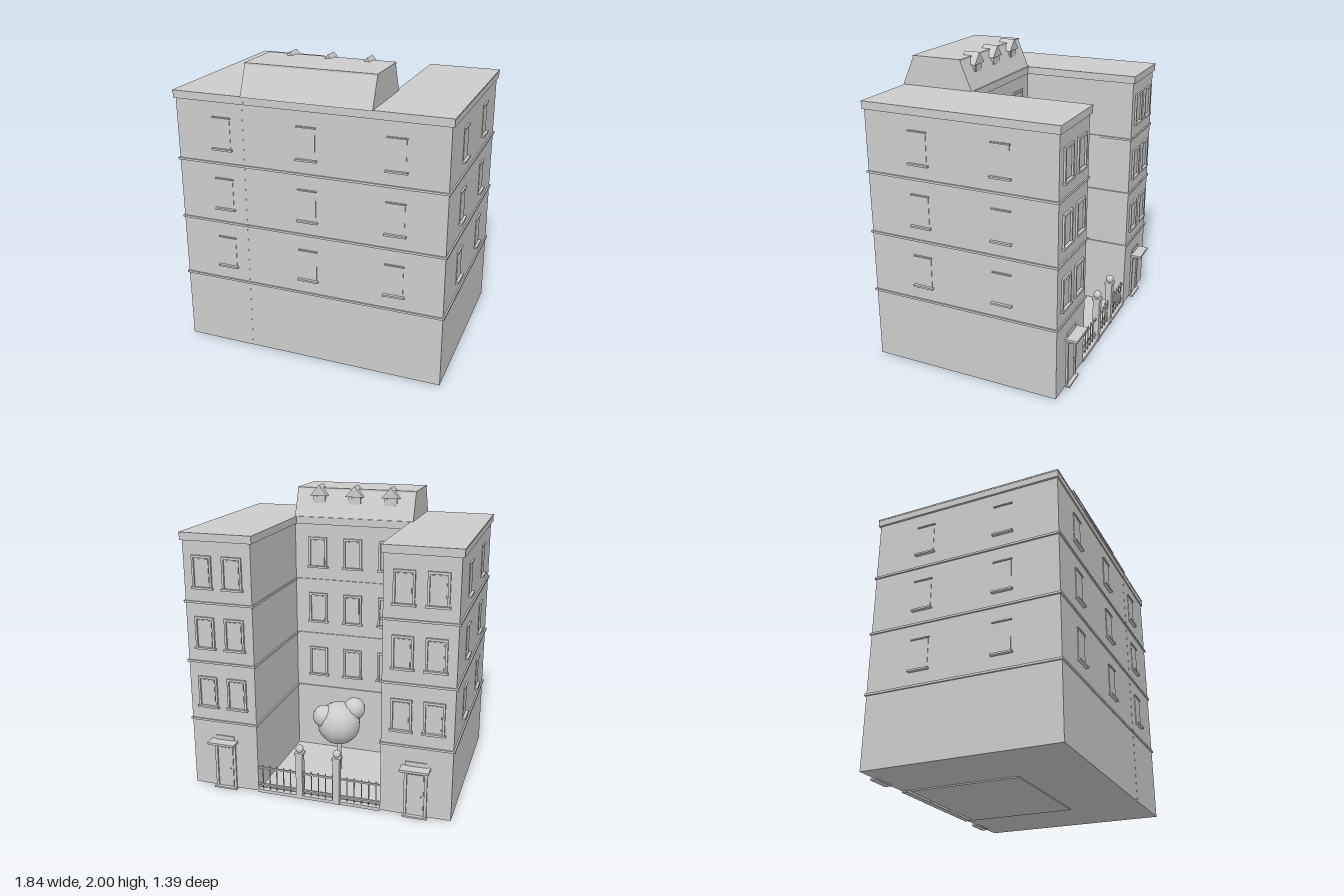
import * as THREE from 'three';

const stone = new THREE.MeshStandardMaterial({ color: 0xcccccc });
stone.name = 'pale grey';

function add(parent, name, geometry, x = 0, y = 0, z = 0) {
  const m = new THREE.Mesh(geometry, stone);
  m.name = name;
  m.position.set(x, y, z);
  parent.add(m);
  return m;
}

// Box given by its limits on each axis
function box(parent, name, x0, x1, y0, y1, z0, z1) {
  return add(parent, name, new THREE.BoxGeometry(x1 - x0, y1 - y0, z1 - z0),
    (x0 + x1) / 2, (y0 + y1) / 2, (z0 + z1) / 2);
}

// Profile in (z, y) extruded along x
function prismX(parent, name, points, x0, x1) {
  const shape = new THREE.Shape(points.map(([z, y]) => new THREE.Vector2(-z, y)));
  const g = new THREE.ExtrudeGeometry(shape, { depth: x1 - x0, bevelEnabled: false });
  g.rotateY(Math.PI / 2);
  return add(parent, name, g, x0);
}

function group(parent, name, x, y, z, turn = 0) {
  const g = new THREE.Group();
  g.name = name;
  g.position.set(x, y, z);
  g.rotation.y = turn;
  parent.add(g);
  return g;
}

const FLOORS = [0.59, 1.005, 1.415];

// Wing or centre block: walls, string courses and cornice
function block(parent, name, x0, x1, z0, z1, edge) {
  const b = group(parent, name, 0, 0, 0);
  box(b, 'walls', x0, x1, 0.008, 1.74, z0, z1);
  const [l, r] = edge;
  for (const y of [0.487, 0.905, 1.315])
    box(b, 'stringCourse', x0 - l * 0.01, x1 + r * 0.01, y, y + 0.014, z0 - 0.009, z1 + 0.009);
  box(b, 'cornice', x0 - l * 0.014, x1 + r * 0.014, 1.728, 1.77, z0 - 0.012, z1 + 0.008);
  box(b, 'roofEdge', x0 - l * 0.016, x1 + r * 0.016, 1.77, 1.78, z0 - 0.014, z1 + 0.01);
}

// Shallow window: flush panel with lintel and sill
function flatWindow(parent, x, y, z, turn) {
  const w = group(parent, 'shallowWindow', x, y, z, turn);
  box(w, 'pane', -0.058, 0.058, 0.005, 0.215, -0.01, 0.003);
  box(w, 'lintel', -0.064, 0.064, 0.21, 0.218, -0.01, 0.012);
  box(w, 'sill', -0.07, 0.07, -0.002, 0.01, -0.01, 0.022);
}

// Window with a raised frame
function framedWindow(parent, x, y, z) {
  const w = group(parent, 'framedWindow', x, y, z, Math.PI);
  for (const s of [-1, 1])
    add(w, 'jamb', new THREE.BoxGeometry(0.014, 0.21, 0.022), s * 0.061, 0.11, 0.002);
  box(w, 'lintel', -0.068, 0.068, 0.204, 0.22, -0.01, 0.013);
  box(w, 'pane', -0.046, 0.046, 0.018, 0.197, -0.01, 0.004);
  box(w, 'sill', -0.076, 0.076, -0.002, 0.012, -0.01, 0.02);
}

// Doorway with canopy and step
function doorway(parent, x, z) {
  const d = group(parent, 'doorway', x, 0, z, Math.PI);
  for (const s of [-1, 1])
    add(d, 'doorJamb', new THREE.BoxGeometry(0.018, 0.32, 0.024), s * 0.067, 0.165, 0);
  box(d, 'doorHead', -0.076, 0.076, 0.305, 0.33, -0.01, 0.013);
  box(d, 'doorLeaf', -0.052, 0.052, 0.01, 0.3, -0.01, 0.005);
  box(d, 'canopyMoulding', -0.08, 0.08, 0.33, 0.346, -0.01, 0.045);
  box(d, 'canopy', -0.095, 0.095, 0.346, 0.361, -0.01, 0.08);
  box(d, 'canopyUpstand', -0.07, 0.07, 0.361, 0.39, -0.01, 0.008);
  box(d, 'step', -0.082, 0.082, 0, 0.012, -0.02, 0.03);
  add(d, 'doorKnob', new THREE.SphereGeometry(0.005, 8, 6), 0.038, 0.15, 0.008);
}

function buildFence(parent) {
  const f = group(parent, 'fence', 0, 0, -0.6);
  box(f, 'curb', -0.43, 0.43, 0, 0.022, -0.02, 0.02);
  for (const y of [0.05, 0.175]) box(f, 'rail', -0.43, 0.43, y, y + 0.011, -0.006, 0.006);
  const bar = new THREE.CylinderGeometry(0.004, 0.004, 0.18, 6);
  for (let i = -8; i <= 8; i++) add(f, 'bar', bar, i * 0.05, 0.11, 0);
  for (const x of [-0.13, 0.13]) {
    const p = group(f, 'gatePillar', x, 0, 0);
    box(p, 'pillarShaft', -0.023, 0.023, 0, 0.32, -0.023, 0.023);
    box(p, 'pillarCap', -0.029, 0.029, 0.32, 0.338, -0.029, 0.029);
    add(p, 'pillarBall', new THREE.SphereGeometry(0.027, 16, 12), 0, 0.362, 0);
  }
}

function buildTree(parent) {
  const t = group(parent, 'tree', 0, 0, -0.14);
  add(t, 'trunk', new THREE.CylinderGeometry(0.015, 0.022, 0.3, 8), 0, 0.155, 0);
  add(t, 'crown', new THREE.SphereGeometry(0.155, 12, 10), 0, 0.37, 0);
  add(t, 'foliage', new THREE.SphereGeometry(0.08, 12, 10), 0.095, 0.43, -0.05);
  add(t, 'foliage', new THREE.SphereGeometry(0.08, 12, 10), -0.1, 0.475, 0.04);
}

function buildRoof(parent) {
  const r = group(parent, 'mansardRoof', 0, 0, 0);
  prismX(r, 'mansard', [[0.695, 1.778], [0.61, 1.968], [0.265, 1.968], [0.185, 1.778]], -0.43, 0.43);
  box(r, 'roofCap', -0.432, 0.432, 1.966, 1.977, 0.26, 0.613);
  for (const x of [-0.26, 0, 0.26]) {
    const d = group(r, 'dormer', x, 0, 0);
    box(d, 'dormerBody', -0.045, 0.045, 1.86, 1.93, 0.225, 0.31);
    box(d, 'dormerPane', -0.03, 0.03, 1.875, 1.92, 0.222, 0.226);
    const gable = new THREE.Shape([[-0.065, 1.925], [0.065, 1.925], [0, 2]]
      .map(([a, b]) => new THREE.Vector2(a, b)));
    add(d, 'dormerGable',
      new THREE.ExtrudeGeometry(gable, { depth: 0.108, bevelEnabled: false }), 0, 0, 0.214);
  }
}

export function createModel() {
  const model = new THREE.Group();
  model.name = 'courtyardBuilding';

  // Three blocks around the courtyard
  block(model, 'leftWing', 0.43, 0.9, -0.615, 0.676, [1, 1]);
  block(model, 'rightWing', -0.9, -0.43, -0.615, 0.676, [1, 1]);
  block(model, 'centreBlock', -0.43, 0.43, 0.19, 0.675, [0, 0]);
  box(model, 'courtyardFloor', -0.43, 0.43, 0, 0.012, -0.555, 0.2);
  buildRoof(model);

  // Windows on every upper floor
  for (const y of FLOORS) {
    for (const x of [-0.58, 0, 0.58]) flatWindow(model, x, y, 0.676, 0);
    for (const z of [-0.25, 0.305]) {
      flatWindow(model, 0.9, y, z, Math.PI / 2);
      flatWindow(model, -0.9, y, z, -Math.PI / 2);
    }
    for (const x of [0.56, 0.77]) {
      framedWindow(model, x, y, -0.615);
      framedWindow(model, -x, y, -0.615);
    }
    for (const x of [-0.26, 0, 0.26]) framedWindow(model, x, y, 0.19);
  }

  for (const x of [-0.665, 0.665]) doorway(model, x, -0.615);
  buildFence(model);
  buildTree(model);
  return model;
}
